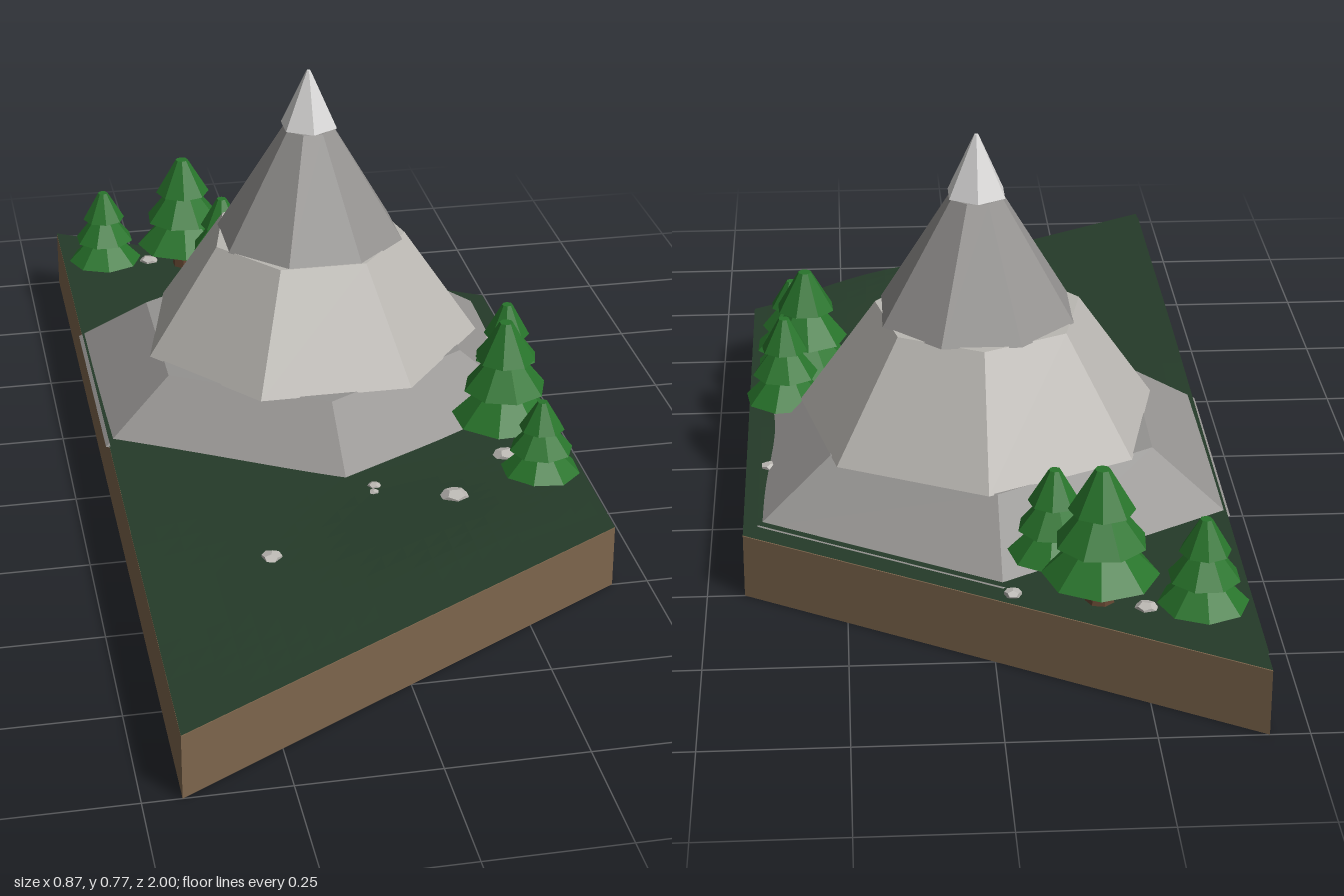
import * as THREE from 'three';

const mat = (name, color, side = THREE.FrontSide) =>
  new THREE.MeshStandardMaterial({ name, color, side, flatShading: true });

export function createModel() {
  const earth = mat('earth brown', 0x7d654c);
  const grass = mat('dark grass green', 0x253b29, THREE.DoubleSide);
  const stone = mat('grey stone', 0x949290);
  const paleStone = mat('pale stone', 0xbab7b2);
  const snow = mat('snow grey', 0xd8d7d6);
  const pine = mat('pine green', 0x28742b);
  const bark = mat('bark brown', 0x664833);

  const model = new THREE.Group();
  model.name = 'mountainTile';
  const add = (parent, name, geometry, material, x = 0, y = 0, z = 0) => {
    const mesh = new THREE.Mesh(geometry, material);
    mesh.name = name;
    mesh.position.set(x, y, z);
    parent.add(mesh);
    return mesh;
  };

  // Half-hexagon slab of earth with a grass cover
  const outline = new THREE.Shape([[-0.433, -1], [0.433, -0.5], [0.433, 0.5], [-0.433, 1]]
    .map(([x, y]) => new THREE.Vector2(x, y)));
  const slab = new THREE.ExtrudeGeometry(outline, { depth: 0.12, bevelEnabled: false });
  add(model, 'earthSlab', slab.rotateX(-Math.PI / 2), earth);
  add(model, 'grassCover', new THREE.ShapeGeometry(outline).rotateX(-Math.PI / 2), grass, 0, 0.1215);

  // Gently rolling ground sheet, set in a little from the slanted edges
  const bump = (x, z, cx, cz, h, w) => h * Math.exp(-((x - cx) ** 2 + (z - cz) ** 2) / w);
  const groundY = (x, z) => 0.128 + bump(x, z, 0.17, 0.58, 0.027, 0.06)
    + bump(x, z, 0.4, -0.12, 0.014, 0.03) + bump(x, z, -0.43, 0.3, 0.006, 0.15);
  const sheet = new THREE.PlaneGeometry(1, 1, 20, 36).rotateX(-Math.PI / 2);
  const p = sheet.attributes.position;
  for (let i = 0; i < p.count; i++) {
    const x = -0.433 + (p.getX(i) + 0.5) * 0.84;
    const z = p.getZ(i) * 2 * (0.71 - x * 0.577);
    p.setXYZ(i, x, groundY(x, z), z);
  }
  sheet.computeVertexNormals();
  add(model, 'rollingGround', sheet, grass);

  // Mountain in stacked tiers: name, material, sides, bottom and top radius, bottom and top y, turn, x
  const mountain = new THREE.Group();
  mountain.name = 'mountain';
  mountain.position.z = -0.225;
  model.add(mountain);
  const tiers = [
    ['mountainFoot', stone, 6, 0.49, 0.335, 0.12, 0.222, 0, -0.015],
    ['mountainMiddle', paleStone, 7, 0.338, 0.193, 0.22, 0.43, Math.PI / 7, 0],
    ['mountainUpper', stone, 8, 0.187, 0.05, 0.428, 0.652, Math.PI / 8, 0.004],
    ['mountainPeak', snow, 6, 0.058, 0.004, 0.655, 0.768, 0, 0.004],
  ];
  for (const [name, material, sides, r0, r1, y0, y1, turn, x] of tiers) {
    const tier = new THREE.CylinderGeometry(r1, r0, y1 - y0, sides);
    add(mountain, name, tier, material, x, (y0 + y1) / 2, 0).rotation.y = turn;
  }

  // Pines of three overlapping cones: x, z, foliage bottom, top, radius
  const pines = [
    [-0.345, -0.805, 0.14, 0.296, 0.078], [-0.175, -0.77, 0.18, 0.375, 0.1],
    [-0.105, -0.665, 0.165, 0.322, 0.08], [0.36, -0.025, 0.165, 0.33, 0.078],
    [0.32, 0.12, 0.165, 0.364, 0.1], [0.35, 0.285, 0.134, 0.276, 0.075],
  ];
  pines.forEach(([x, z, y0, y1, r], n) => {
    const tree = new THREE.Group();
    tree.name = 'pineTree' + (n + 1);
    tree.position.set(x, 0, z);
    tree.rotation.y = n * 0.7;
    model.add(tree);
    const h = y1 - y0;
    add(tree, 'trunk', new THREE.CylinderGeometry(r * 0.2, r * 0.26, y0 - 0.1, 7), bark, 0, (y0 + 0.14) / 2, 0);
    [[1, 0, 0.45], [0.8, 0.31, 0.74], [0.57, 0.62, 1]].forEach(([s, a, b], i) => {
      const cone = new THREE.CylinderGeometry(r * 0.13, r * s, h * (b - a), 8);
      add(tree, 'foliage' + (i + 1), cone, pine, 0, y0 + h * (a + b) / 2, 0).rotation.y = i * 0.4;
    });
  });

  // Small half-buried rocks: x, z, size
  const rocks = [
    [0.165, 0.368, 0.027], [-0.2, 0.505, 0.02], [0.03, 0.29, 0.013], [0.025, 0.315, 0.01],
    [0.39, -0.26, 0.016], [0.3, 0.215, 0.024], [-0.03, -0.74, 0.016], [-0.25, -0.8, 0.02],
  ];
  rocks.forEach(([x, z, s], n) => {
    const rock = add(model, 'rock' + (n + 1), new THREE.DodecahedronGeometry(s), paleStone,
      x, groundY(x, z), z);
    rock.scale.y = 0.5;
    rock.rotation.y = n * 1.3;
  });

  return model;
}
